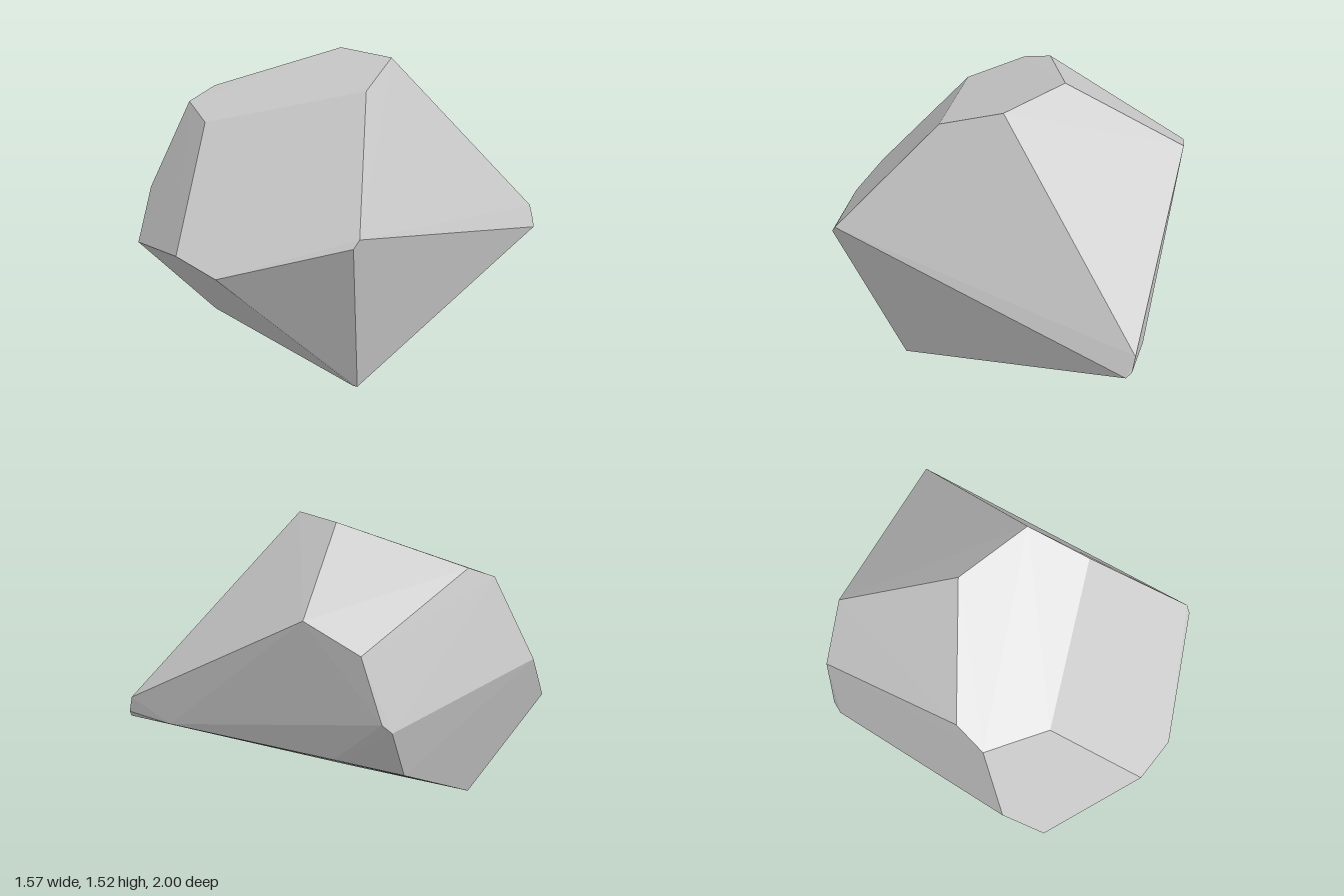
import * as THREE from 'three';
import { ConvexGeometry } from 'three/addons/geometries/ConvexGeometry.js';

// Corners of the faceted boulder, grouped by region
const corners = {
  crown: [[-0.08, 1.515, -0.17], [0.33, 1.52, -0.10], [0.44, 1.41, 0.20]],
  leftShoulder: [[-0.575, 1.31, 0.26], [-0.58, 1.25, 0.43], [-0.28, 1.21, 0.585]],
  frontRidge: [[-0.665, 0.82, 0.63], [-0.555, 0.585, 0.81], [-0.03, 0.67, 1.0], [0.225, 0.61, 0.98]],
  sidePoint: [[0.785, 0.84, 0.61], [0.775, 0.80, 0.64]],
  backRidge: [[-0.45, 1.14, -0.64], [-0.705, 1.0, -0.50], [-0.772, 0.68, -0.43], [-0.785, 0.635, -0.38]],
  backTip: [[0.54, 0.63, -1.0], [0.565, 0.55, -1.0], [0.585, 0.52, -0.98], [0.32, 0.523, -0.91]],
  underside: [[0.54, 0, 0.39], [0.565, 0, 0.385], [-0.49, 0.13, 0.36], [-0.68, 0.375, -0.22], [-0.48, 0.455, -0.49]],
};

export function createModel() {
  const group = new THREE.Group();
  group.name = 'rock';

  // Convex hull gives flat, hard-edged facets
  const points = Object.values(corners).flat().map((p) => new THREE.Vector3(...p));
  const boulder = new THREE.Mesh(
    new ConvexGeometry(points),
    new THREE.MeshStandardMaterial({ color: 0xcccccc, flatShading: true })
  );
  boulder.name = 'boulder';
  group.add(boulder);
  return group;
}
